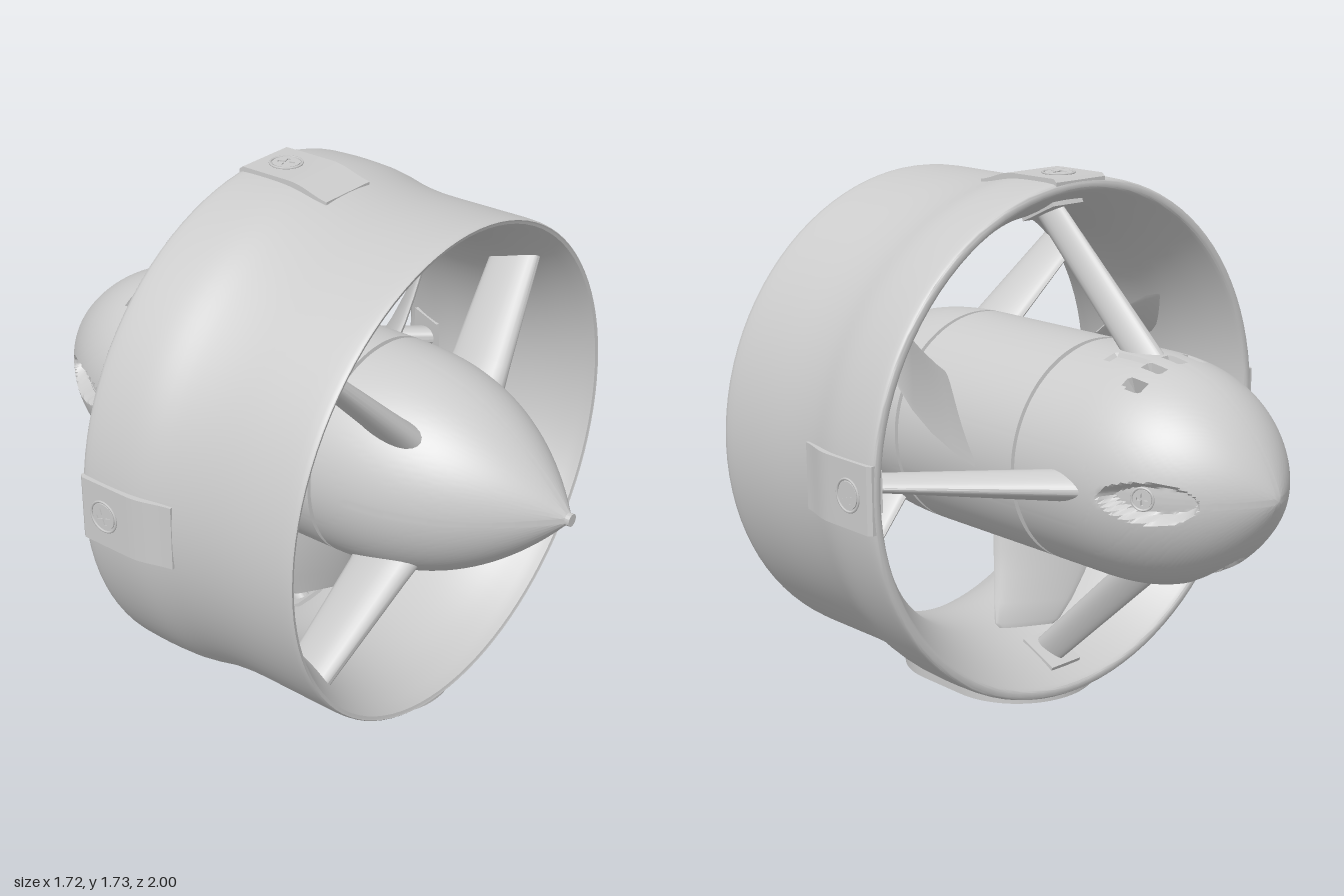
import * as THREE from 'three';
import { toCreasedNormals } from 'three/addons/utils/BufferGeometryUtils.js';

const AXIS_Y = 0.87;
const material = new THREE.MeshStandardMaterial({ color: 0xcccccc });

function add(parent, name, geometry) {
  const mesh = new THREE.Mesh(geometry, material);
  mesh.name = name;
  parent.add(mesh);
  return mesh;
}

// Skin over closed loops of points stacked outward, capped at both ends
function loft(loops) {
  const n = loops[0].length, pos = [], idx = [];
  loops.forEach(loop => loop.forEach(p => pos.push(p.x, p.y, p.z)));
  for (let j = 0; j < loops.length - 1; j++)
    for (let i = 0; i < n; i++) {
      const a = j * n + i, b = j * n + (i + 1) % n;
      idx.push(a, b, b + n, a, b + n, a + n);
    }
  const last = (loops.length - 1) * n;
  for (let i = 1; i < n - 1; i++) idx.push(0, i + 1, i, last, last + i, last + i + 1);
  const g = new THREE.BufferGeometry();
  g.setAttribute('position', new THREE.Float32BufferAttribute(pos, 3));
  g.setIndex(idx);
  return toCreasedNormals(g, 0.7);
}

// Airfoil loop at radius r: blunt front, thin rear, chord turned by twist about the radial axis
function airfoil({ r, x = 0, z, chord, thick, twist = 0 }) {
  return Array.from({ length: 24 }, (_, i) => {
    const a = i / 24 * Math.PI * 2;
    const p = new THREE.Vector3(Math.sin(a) * (0.75 + 0.25 * Math.cos(a)) * thick / 2 * 1.2, 0, Math.cos(a) * chord / 2);
    return p.applyAxisAngle(new THREE.Vector3(0, 1, 0), twist).add(new THREE.Vector3(x, r, z));
  });
}

// Cross-slot screw head, top at y = 0
function screw(radius) {
  const g = new THREE.Group();
  g.name = 'screw';
  const head = new THREE.Shape().absarc(0, 0, radius * 0.86, 0, Math.PI * 2);
  const w = radius * 0.12, l = radius * 0.55;
  const cross = [[w, w], [w, l], [-w, l], [-w, w], [-l, w], [-l, -w], [-w, -w], [-w, -l], [w, -l], [w, -w], [l, -w], [l, w]];
  head.holes.push(new THREE.Path(cross.map(([x, y]) => new THREE.Vector2(x, y))));
  add(g, 'screwHead', new THREE.ExtrudeGeometry(head, { depth: 0.014, bevelEnabled: false, curveSegments: 20 }).rotateX(Math.PI / 2));
  add(g, 'screwSeat', new THREE.CylinderGeometry(radius * 0.8, radius * 0.8, 0.01, 24).translate(0, -0.013, 0));
  add(g, 'screwRim', new THREE.TorusGeometry(radius, 0.004, 6, 32).rotateX(Math.PI / 2).translate(0, -0.002, 0));
  return g;
}

// Radius of the pod along its axis, with the two seam grooves
function podRadius(z) {
  let r = 0.357;
  if (z > 0.25) r *= 1 - ((z - 0.25) / 0.75) ** 2.6;
  if (z < -0.45) r *= Math.max(0, 1 - ((-0.45 - z) / 0.55) ** 2.6) ** 0.8;
  if (Math.abs(z - 0.29) < 0.007 || Math.abs(z + 0.26) < 0.009) r -= 0.012;
  return r;
}

// Depth of scoops and vents cut in the pod, by angle around the axis
function podCut(angle, z, r) {
  let depth = 0;
  for (const centre of [0, Math.PI, -Math.PI / 2]) {
    const d = Math.atan2(Math.sin(angle - centre), Math.cos(angle - centre));
    const u = (z + 0.735) / 0.135;
    const e = u * u + (d * r / (0.06 - 0.012 * u)) ** 2;
    if (e < 1) depth = 0.055 * Math.min(1, (1 - e) * 3);
  }
  if (Math.sin(angle) > 0) {
    const x = Math.cos(angle) * r;
    for (let i = -2; i <= 2; i++)
      if (Math.abs(x - i * 0.087) < 0.016 && z < -0.555 && z > -0.62) depth = 0.05;
    if (Math.abs(x - 0.09) < 0.024 && z < -0.41 && z > -0.545) depth = 0.012;
  }
  return depth;
}

function buildPod() {
  const zs = [0.282, 0.284, 0.296, 0.298, -0.27, -0.268, -0.252, -0.25, -0.985, -0.995];
  for (let z = -1; z < -0.4; z += 0.009) zs.push(z);
  for (let z = -0.4; z < 0.99; z += 0.025) zs.push(z);
  zs.sort((a, b) => a - b);
  const profile = zs.map(z => new THREE.Vector2(podRadius(z), z));
  profile.push(new THREE.Vector2(0.02, 0.985), new THREE.Vector2(0.02, 1), new THREE.Vector2(0, 1));
  const g = new THREE.LatheGeometry(profile, 220).rotateX(Math.PI / 2);
  const p = g.attributes.position;
  for (let i = 0; i < p.count; i++) {
    const x = p.getX(i), y = p.getY(i), r = Math.hypot(x, y);
    if (r < 0.05) continue;
    const k = 1 - podCut(Math.atan2(y, x), p.getZ(i), r) / r;
    p.setXY(i, x * k, y * k);
  }
  return toCreasedNormals(g, 0.5);
}

// Duct: outer wall flaring to the rear, inner wall narrowing to a throat
function buildDuct() {
  const spline = pts => new THREE.SplineCurve(pts.map(([r, z]) => new THREE.Vector2(r, z))).getPoints(32);
  const outer = spline([[0.832, -0.19], [0.845, -0.175], [0.848, -0.08], [0.843, 0.02], [0.822, 0.13], [0.812, 0.25], [0.812, 0.42], [0.812, 0.575], [0.802, 0.59]]);
  const inner = spline([[0.795, 0.588], [0.77, 0.55], [0.725, 0.46], [0.697, 0.35], [0.69, 0.2], [0.702, 0.05], [0.745, -0.07], [0.805, -0.175], [0.82, -0.19]]);
  return toCreasedNormals(new THREE.LatheGeometry([...outer, ...inner, outer[0].clone()], 96).rotateX(Math.PI / 2), 0.6);
}

// Mounting foot: holed face plate under a block trimmed to the duct curve
function buildFoot(group) {
  const outline = () => new THREE.Shape()
    .absarc(0, 0.29, 0.26, 0, Math.PI).absarc(0, 0.1, 0.26, Math.PI, Math.PI * 2).closePath();
  const face = outline();
  const hole = (x, y, r) => face.holes.push(new THREE.Path().absarc(x, y, r, 0, Math.PI * 2, true));
  hole(0, 0.195, 0.03);
  for (let i = 0; i < 6; i++) {
    const a = i * Math.PI / 3, cx = 0, cy = 0.195;
    const petal = new THREE.Path();
    petal.absarc(cx, cy, 0.2, a - 0.33, a + 0.33, false);
    petal.absarc(cx, cy, 0.09, a + 0.22, a - 0.22, true);
    face.holes.push(petal.closePath());
    hole(cx + Math.cos(a + Math.PI / 6) * 0.17, cy + Math.sin(a + Math.PI / 6) * 0.17, 0.025);
  }
  const extrude = (s, depth, top) => new THREE.ExtrudeGeometry(s, { depth, bevelEnabled: false, curveSegments: 24 })
    .rotateX(Math.PI / 2).translate(0, top, 0);
  add(group, 'footFace', toCreasedNormals(extrude(face, 0.035, 0.035), 0.5));
  const block = extrude(outline(), 0.09, 0.125), p = block.attributes.position;
  for (let i = 0; i < p.count; i++) {
    const x = p.getX(i);
    if (p.getY(i) > 0.1) p.setY(i, AXIS_Y - Math.sqrt(0.82 ** 2 - x * x) + 0.015);
  }
  add(group, 'footBlock', toCreasedNormals(block, 0.5));
}

export function createModel() {
  const model = new THREE.Group();
  model.name = 'ductedThruster';
  const core = new THREE.Group();
  core.name = 'thrusterCore';
  core.position.y = AXIS_Y;
  model.add(core);

  add(core, 'duct', buildDuct());
  add(core, 'pod', buildPod());

  // Swept rear struts with their seats on the inner wall
  const rearStrut = loft([
    airfoil({ r: 0.3, z: -0.51, chord: 0.17, thick: 0.11 }),
    airfoil({ r: 0.36, z: -0.45, chord: 0.165, thick: 0.1 }),
    airfoil({ r: 0.76, z: -0.03, chord: 0.15, thick: 0.055 }),
  ]);
  // Straight front struts
  const frontStrut = loft([
    airfoil({ r: 0.28, z: 0.49, chord: 0.23, thick: 0.1 }),
    airfoil({ r: 0.37, z: 0.48, chord: 0.21, thick: 0.085 }),
    airfoil({ r: 0.76, z: 0.42, chord: 0.17, thick: 0.055 }),
  ]);
  const seat = new THREE.BoxGeometry(0.13, 0.03, 0.15).rotateX(0.43).translate(0, 0.745, -0.06);
  for (let i = 0; i < 4; i++) {
    add(core, 'rearStrut', rearStrut).rotation.z = i * Math.PI / 2;
    add(core, 'strutSeat', seat).rotation.z = i * Math.PI / 2;
    add(core, 'frontStrut', frontStrut).rotation.z = (i + 0.5) * Math.PI / 2;
  }

  // Three twisted, swept propeller blades
  const section = (r, x, width, pitch, thick) => {
    const phi = pitch * Math.PI / 180;
    return airfoil({ r, x, z: 0.03, chord: width / Math.cos(phi), thick, twist: phi - Math.PI / 2 });
  };
  const blade = loft([
    section(0.31, 0.07, 0.255, 45, 0.04),
    section(0.41, 0.055, 0.25, 42, 0.035),
    section(0.5, 0.035, 0.24, 38, 0.03),
    section(0.59, 0.005, 0.22, 34, 0.025),
    section(0.655, -0.022, 0.19, 31, 0.02),
    section(0.672, -0.025, 0.16, 30, 0.014),
  ]);
  for (let i = 0; i < 3; i++) add(core, 'propellerBlade', blade).rotation.z = Math.PI + i * Math.PI * 2 / 3;

  // Screw pads on the top and both sides, drawn as (z, radius) and extruded across
  const padShape = new THREE.Shape();
  padShape.moveTo(-0.188, 0.825).lineTo(0.15, 0.8).lineTo(0.15, 0.822);
  padShape.bezierCurveTo(0.09, 0.832, 0.06, 0.855, 0, 0.855);
  padShape.lineTo(-0.175, 0.855).lineTo(-0.188, 0.845).closePath();
  const padGeometry = toCreasedNormals(new THREE.ExtrudeGeometry(padShape, { depth: 0.21, bevelEnabled: false })
    .translate(0, 0, -0.105).rotateY(-Math.PI / 2), 0.5);
  for (const turn of [-1, 0, 1]) {
    const pad = new THREE.Group();
    pad.name = 'screwPad';
    pad.rotation.z = turn * Math.PI / 2;
    add(pad, 'padBlock', padGeometry);
    const s = screw(0.05);
    s.position.set(0, 0.859, -0.09);
    s.rotation.y = 0.3;
    pad.add(s);
    core.add(pad);
  }

  // Screws sunk in the pod scoops
  for (const turn of [-1, 1, 2]) {
    const holder = new THREE.Group();
    holder.name = 'scoopScrew';
    holder.rotation.z = turn * Math.PI / 2;
    const s = screw(0.034);
    s.position.set(0, 0.268, -0.71);
    s.rotation.x = -0.4;
    holder.add(s);
    core.add(holder);
  }

  buildFoot(model);
  return model;
}
